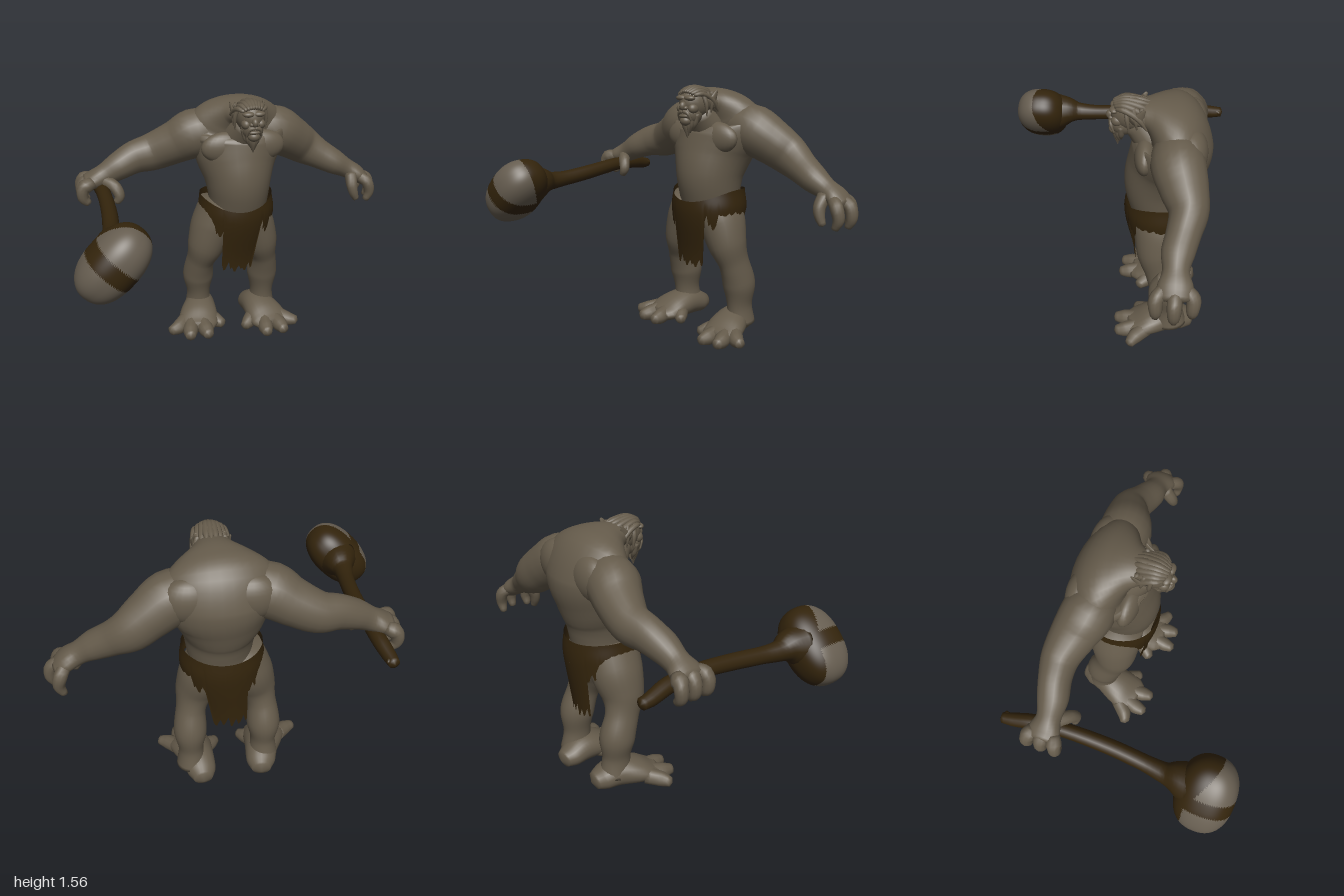
import * as THREE from 'three';
import { mergeVertices } from 'three/addons/utils/BufferGeometryUtils.js';

const skin = new THREE.MeshStandardMaterial({ color: 0x655b4b });
skin.name = 'skin';
const leather = new THREE.MeshStandardMaterial({ color: 0x33240c, side: THREE.DoubleSide });
leather.name = 'leather';
const stone = new THREE.MeshStandardMaterial({ color: 0x665d50 });
stone.name = 'stone';

const X = new THREE.Vector3(1, 0, 0);
const Z = new THREE.Vector3(0, 0, 1);

// Smooth closed skin through elliptical sections [x, y, z, radius along ref, other radius]
function loft(name, material, sections, ref = X, sides = 20, steps = 4) {
  const path = new THREE.CatmullRomCurve3(sections.map(s => new THREE.Vector3(s[0], s[1], s[2])));
  const size = new THREE.CatmullRomCurve3(sections.map(s => new THREE.Vector3(s[3], s[4] ?? s[3], 0)));
  const rings = (sections.length - 1) * steps;
  const pos = [], index = [];
  for (let i = 0; i <= rings; i++) {
    const t = i / rings;
    const c = path.getPoint(t), r = size.getPoint(t), dir = path.getTangent(t);
    const u = ref.clone().addScaledVector(dir, -ref.dot(dir)).normalize();
    const v = dir.clone().cross(u);
    for (let j = 0; j < sides; j++) {
      const a = (j / sides) * Math.PI * 2;
      const p = c.clone().addScaledVector(u, Math.cos(a) * r.x).addScaledVector(v, Math.sin(a) * r.y);
      pos.push(p.x, p.y, p.z);
      if (i < rings) {
        const k = (j + 1) % sides, lo = i * sides, hi = lo + sides;
        index.push(lo + j, lo + k, hi + k, lo + j, hi + k, hi + j);
      }
    }
  }
  // domed end caps
  [0, 1].forEach(e => {
    const tip = path.getPoint(e).addScaledVector(path.getTangent(e), (e ? 0.4 : -0.4) * size.getPoint(e).y);
    const centre = pos.length / 3, base = e * rings * sides;
    pos.push(tip.x, tip.y, tip.z);
    for (let j = 0; j < sides; j++) {
      const k = (j + 1) % sides;
      index.push(centre, base + (e ? j : k), base + (e ? k : j));
    }
  });
  const g = new THREE.BufferGeometry();
  g.setAttribute('position', new THREE.Float32BufferAttribute(pos, 3));
  g.setIndex(index);
  g.computeVertexNormals();
  const mesh = new THREE.Mesh(g, material);
  mesh.name = name;
  return mesh;
}

function ball(name, x, y, z, rx, ry, rz) {
  const mesh = new THREE.Mesh(new THREE.SphereGeometry(1, 24, 16), skin);
  mesh.name = name;
  mesh.position.set(x, y, z);
  mesh.scale.set(rx, ry, rz);
  return mesh;
}

function group(name, ...parts) {
  const g = new THREE.Group();
  g.name = name;
  g.add(...parts);
  return g;
}

// Hunched trunk, bending forward into the neck
function torso() {
  return group('torso',
    loft('trunk', skin, [
      [.04, .76, -.32, .17, .15], [.05, .92, -.30, .185, .19], [.05, 1.03, -.30, .205, .21],
      [.05, 1.16, -.33, .255, .22], [.06, 1.28, -.355, .30, .22], [.06, 1.38, -.345, .30, .175],
      [.065, 1.43, -.29, .23, .125], [.07, 1.455, -.22, .13, .085], [.075, 1.45, -.15, .08, .06],
    ], X, 32, 5),
    loft('neck', skin, [[.06, 1.24, -.29, .15, .11], [.068, 1.33, -.225, .12, .10],
      [.078, 1.42, -.15, .075, .08]]),
    ...[-1, 1].map(s => ball('chestMuscle', .06 + s * .11, 1.255, -.21, .145, .095, .06)),
    ...[-1, 1].map(s => ball('shoulderBlade', .06 + s * .16, 1.32, -.45, .15, .13, .09)));
}

function rightArm() {
  const fingers = [-.48, -.40, -.32].map(z => loft('finger', skin, [
    [-.83, 1.06, -.4 + (z + .4) * .7, .037], [-.885, 1.035, z, .037],
    [-.89, .975, z, .033], [-.86, .94, z, .022]], Z, 12));
  return group('rightArm',
    loft('arm', skin, [
      [-.04, 1.34, -.36, .10], [-.2, 1.305, -.385, .145, .15], [-.31, 1.25, -.42, .13, .13],
      [-.45, 1.19, -.45, .105, .115], [-.56, 1.17, -.435, .09, .10], [-.66, 1.13, -.41, .085],
      [-.75, 1.085, -.40, .068], [-.82, 1.06, -.40, .088, .055], [-.87, 1.05, -.40, .075, .04]], Z),
    ...fingers,
    loft('thumb', skin, [[-.76, 1.06, -.37, .04], [-.7, 1.03, -.31, .036],
      [-.68, .98, -.29, .032], [-.70, .94, -.29, .02]], Z, 12));
}

function leftArm() {
  const fingers = [[-.49, -.05], [-.40, 0], [-.31, -.03]].map(([z, dx]) => loft('finger', skin, [
    [.88, .95, -.4 + (z + .4) * .6, .036], [.95 + dx, .92, z, .037],
    [.966 + dx, .855, z, .033], [.945 + dx, .80, z, .02]], Z, 12));
  return group('leftArm',
    loft('arm', skin, [
      [.14, 1.34, -.36, .10], [.31, 1.295, -.385, .145, .15], [.42, 1.23, -.42, .13, .135],
      [.52, 1.16, -.45, .105, .12], [.62, 1.10, -.43, .09, .095], [.72, 1.045, -.405, .085, .08],
      [.80, 1.0, -.40, .068, .062], [.87, .96, -.40, .09, .055], [.92, .92, -.40, .08, .042]], Z),
    ...fingers,
    loft('thumb', skin, [[.82, .97, -.35, .04], [.815, .91, -.31, .036],
      [.825, .86, -.30, .03], [.845, .815, -.30, .02]], Z, 12));
}

// One leg; side -1 is the right, +1 the left, which stands slightly lower
function leg(side) {
  const drop = side > 0 ? .04 : 0;
  const at = (list, middle) => list.map(([x, y, z, a, b]) =>
    [side < 0 ? x : middle - x, y - drop * THREE.MathUtils.clamp((.6 - y) / .4, 0, 1), z, a, b]);
  const toes = [
    [[-.31, .11, -.25, .05], [-.37, .095, -.19, .046], [-.425, .09, -.16, .028]],
    [[-.28, .105, -.21, .05], [-.305, .09, -.13, .048], [-.315, .085, -.07, .03]],
    [[-.215, .105, -.2, .05], [-.205, .09, -.12, .048], [-.20, .085, -.06, .03]],
    [[-.17, .11, -.28, .055], [-.115, .09, -.22, .045], [-.08, .08, -.185, .028]]];
  return group(side < 0 ? 'rightLeg' : 'leftLeg',
    loft('leg', skin, at([
      [-.06, .87, -.31, .13, .16], [-.11, .74, -.31, .135, .155], [-.16, .60, -.305, .115, .125],
      [-.19, .49, -.335, .087, .102], [-.2, .37, -.375, .097, .107],
      [-.2, .24, -.385, .073, .085], [-.2, .13, -.395, .088, .10]], .03), X, 24, 6),
    loft('foot', skin, at([
      [-.175, .11, -.525, .055, .05], [-.18, .12, -.47, .085, .07], [-.195, .14, -.38, .098, .088],
      [-.22, .128, -.28, .12, .077], [-.24, .105, -.20, .125, .055], [-.25, .095, -.15, .10, .04]], -.005), X, 24, 5),
    ...toes.map(t => loft('toe', skin, at(t, -.015), Math.abs(t[2][0] - t[0][0]) > .07 ? Z : X, 12)));
}

function head() {
  const cx = .078;
  const parts = [
    ball('skull', cx, 1.46, -.13, .084, .098, .115),
    ball('jaw', cx, 1.40, -.085, .066, .07, .075),
    ball('nose', cx, 1.445, -.014, .019, .026, .024),
    ball('lowerLip', cx, 1.388, -.02, .034, .012, .016),
    ball('chin', cx, 1.36, -.04, .036, .03, .035)];
  for (const s of [-1, 1]) {
    parts.push(
      ball('brow', cx + s * .03, 1.49, -.037, .036, .017, .026),
      ball('cheek', cx + s * .042, 1.43, -.055, .028, .03, .035),
      ball('nostril', cx + s * .017, 1.434, -.019, .013, .012, .015),
      loft('moustache', skin, [[cx, 1.415, -.012, .010], [cx + s * .03, 1.405, -.02, .012],
        [cx + s * .045, 1.36, -.035, .004]], Z, 8),
      loft('ear', skin, [[cx + s * .075, 1.44, -.14, .012, .03], [cx + s * .09, 1.47, -.165, .012, .03],
        [cx + s * .10, 1.53, -.20, .004, .008]], X, 10));
    // loose locks beside the face
    for (let i = 0; i < 3; i++) {
      parts.push(loft('sideLock', skin, [
        [cx + s * .07, 1.52, -.10 - i * .04, .014], [cx + s * .092, 1.46, -.11 - i * .045, .013],
        [cx + s * .09, 1.385 + i * .02, -.12 - i * .04, .003]], X, 8));
    }
  }
  // beard locks, longest in the middle
  for (let i = -3; i <= 3; i++) {
    const w = i / 3;
    parts.push(loft('beardLock', skin, [
      [cx + w * .05, 1.38 + Math.abs(w) * .02, -.045 - w * w * .03, .02],
      [cx + w * .038, 1.325 + Math.abs(w) * .02, -.045 - w * w * .03, .018],
      [cx + w * .018, 1.262 + Math.abs(w) * .04, -.055 - w * w * .02, .003]], X, 8));
  }
  // swept-back hair
  for (let i = -4; i <= 4; i++) {
    const w = i / 4, fall = w * w;
    parts.push(loft('hairLock', skin, [
      [cx + w * .055, 1.525 - fall * .02, -.03 - fall * .02, .010],
      [cx + w * .075, 1.547 - fall * .035, -.09, .02, .015],
      [cx + w * .09, 1.54 - fall * .07, -.17, .02, .016],
      [cx + w * .10, 1.53 - fall * .12, -.235 + fall * .02, .004]], X, 8));
  }
  return group('head', ...parts);
}

// Wrapped hide with ragged flaps in front and behind
function loincloth() {
  const cols = 120, rows = 10, pos = [], index = [];
  const rag = [0, .05, .015, .07, .03, .0, .04, .02];
  for (let i = 0; i <= cols; i++) {
    const a = (i / cols) * Math.PI * 2 - Math.PI, s = Math.sin(a), c = Math.cos(a);
    const top = c > 0 ? .945 - .07 * c * c : .945 - .02 * c * c;
    const jag = rag[Math.floor(i / 2) % 8] * (i % 2 ? 1 : .6);
    const off = Math.abs(s);
    const bottom = off < .48 ? .46 + jag : off < .75 ? .71 + jag * 1.3 : .795 + jag * .3;
    for (let j = 0; j <= rows; j++) {
      const y = THREE.MathUtils.lerp(top, bottom, j / rows);
      const flare = 1 + .06 * THREE.MathUtils.smoothstep(.95 - y, 0, .12);
      const hang = THREE.MathUtils.smoothstep(.85 - y, 0, .4);
      pos.push(.037 + .225 * flare * s * (1 - .12 * hang) - .03 * hang, y,
        -.31 + .205 * flare * c * (1 - (c > 0 ? .3 : .14) * hang));
      if (i < cols && j < rows) {
        const p = i * (rows + 1) + j, q = p + rows + 1;
        index.push(p, p + 1, q + 1, p, q + 1, q);
      }
    }
  }
  const g = new THREE.BufferGeometry();
  g.setAttribute('position', new THREE.Float32BufferAttribute(pos, 3));
  g.setIndex(index);
  g.computeVertexNormals();
  const mesh = new THREE.Mesh(g, leather);
  mesh.name = 'loincloth';
  return mesh;
}

// Egg-shaped stone lashed to a bent wooden handle
function club() {
  let g = new THREE.SphereGeometry(1, 96, 64);
  g.deleteAttribute('uv');
  g.deleteAttribute('normal');
  const p = g.attributes.position, soft = v => Math.sign(v) * Math.abs(v) ** .85;
  for (let i = 0; i < p.count; i++) {
    p.setXYZ(i, .142 * soft(p.getX(i)), .228 * soft(p.getY(i)), .165 * soft(p.getZ(i)));
  }
  g = mergeVertices(g, 1e-5);
  // lashing covers the back and a band across the middle
  const wrapped = [], bare = [], q = g.attributes.position, id = g.index.array;
  for (let f = 0; f < id.length; f += 3) {
    const tri = [id[f], id[f + 1], id[f + 2]];
    const t = tri.reduce((sum, v) => sum + q.getY(v), 0) / 3;
    const z = tri.reduce((sum, v) => sum + q.getZ(v), 0) / 3;
    const dark = (t > -.05 && t < .04) || z < (t > 0 ? -.07 + .5 * t : -.085);
    (dark ? wrapped : bare).push(...tri);
  }
  g.setIndex([...wrapped, ...bare]);
  g.addGroup(0, wrapped.length, 0);
  g.addGroup(wrapped.length, bare.length, 1);
  g.rotateZ(-Math.PI / 4);
  g.computeVertexNormals();
  const stoneHead = new THREE.Mesh(g, [leather, stone]);
  stoneHead.name = 'clubHead';
  stoneHead.position.set(-.803, .922, .513);
  return group('club', stoneHead,
    loft('handle', leather, [
      [-.825, .975, -.66, .03], [-.815, .98, -.6, .038], [-.79, 1.0, -.48, .043],
      [-.772, 1.005, -.3, .042], [-.765, .98, -.05, .045], [-.775, .96, .15, .047],
      [-.785, .955, .27, .058], [-.782, .96, .34, .09], [-.785, .95, .41, .12]], X, 16),
    loft('splinter', leather, [[-.82, .99, -.58, .02], [-.80, .985, -.64, .015], [-.79, .98, -.655, .008]], X, 8));
}

export function createModel() {
  return group('clubWielder', torso(), head(), rightArm(), leftArm(), leg(-1), leg(1), loincloth(), club());
}
